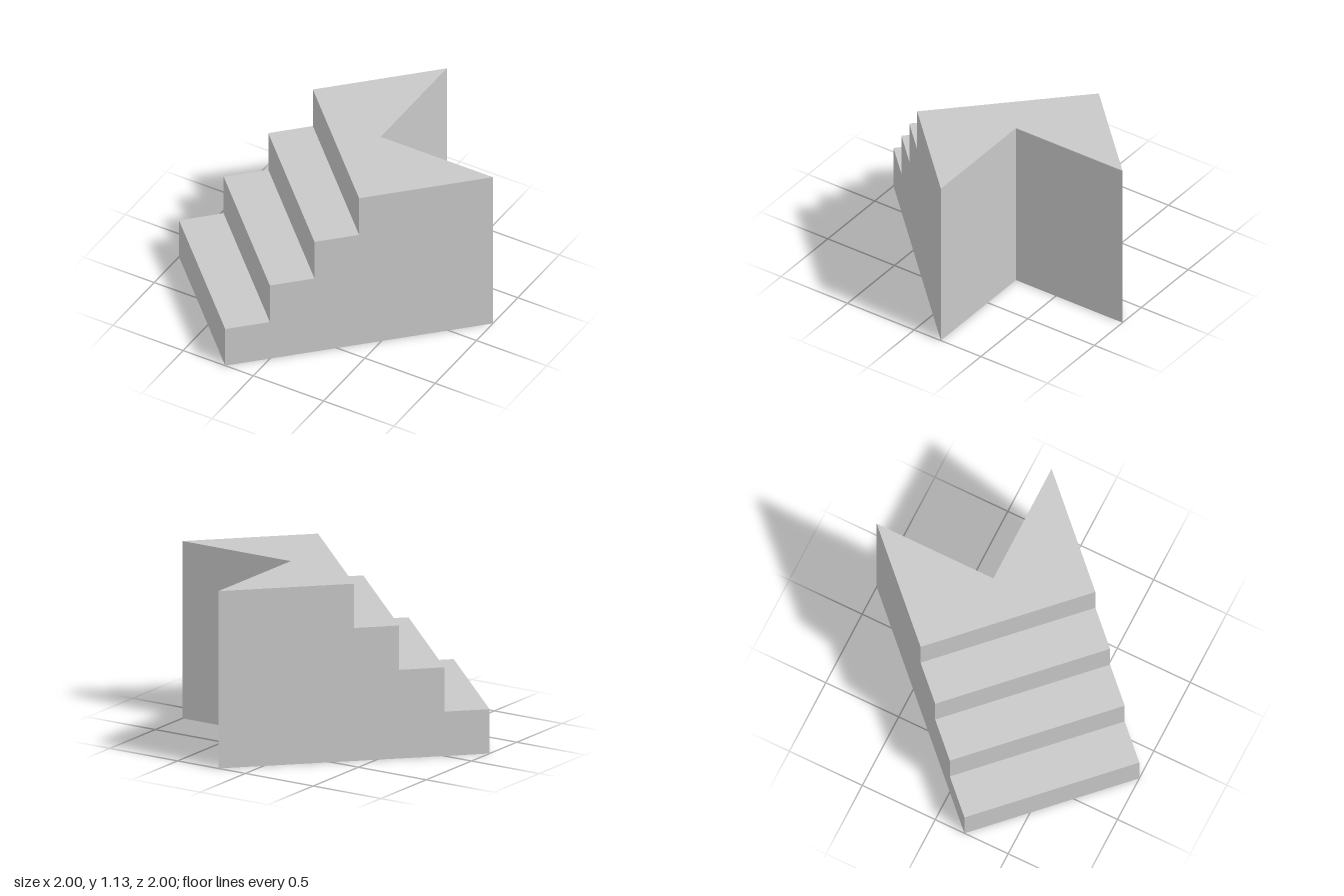
import * as THREE from 'three';

const STEPS = 4;
const RISE = 0.283;
const BACK = 6;  // depth of the block, in treads
const NOTCH = 4; // depth at which the rear V-notch ends, in treads

export function createModel() {
  const group = new THREE.Group();
  group.name = 'staircase';
  const grey = new THREE.MeshStandardMaterial({ color: 0xc8c8c8 });
  grey.name = 'light grey';

  // Stepped side profile: x counts treads, y is height
  const profile = new THREE.Shape();
  profile.moveTo(0, 0);
  profile.lineTo(BACK, 0);
  profile.lineTo(BACK, STEPS * RISE);
  for (let i = STEPS - 1; i >= 0; i--) {
    profile.lineTo(i, (i + 1) * RISE);
    if (i > 0) profile.lineTo(i, i * RISE);
  }

  // Extrude across the width with a middle section for the notch
  const geometry = new THREE.ExtrudeGeometry(profile, { depth: 1, steps: 2, bevelEnabled: false });
  const pos = geometry.attributes.position;
  for (let i = 0; i < pos.count; i++) {
    let s = pos.getX(i);
    const t = pos.getZ(i);
    // Pull the middle of the rear wall inwards
    if (s > BACK - 0.01 && Math.abs(t - 0.5) < 0.01) s = NOTCH;
    // Turn the stairs diagonally, climbing towards +x and -z
    pos.setX(i, -1 + 0.2 * s + 0.8 * t);
    pos.setZ(i, 0.2 - 0.2 * s + 0.8 * t);
  }
  geometry.computeVertexNormals();

  const stairs = new THREE.Mesh(geometry, grey);
  stairs.name = 'notchedStairBlock';
  group.add(stairs);
  return group;
}
